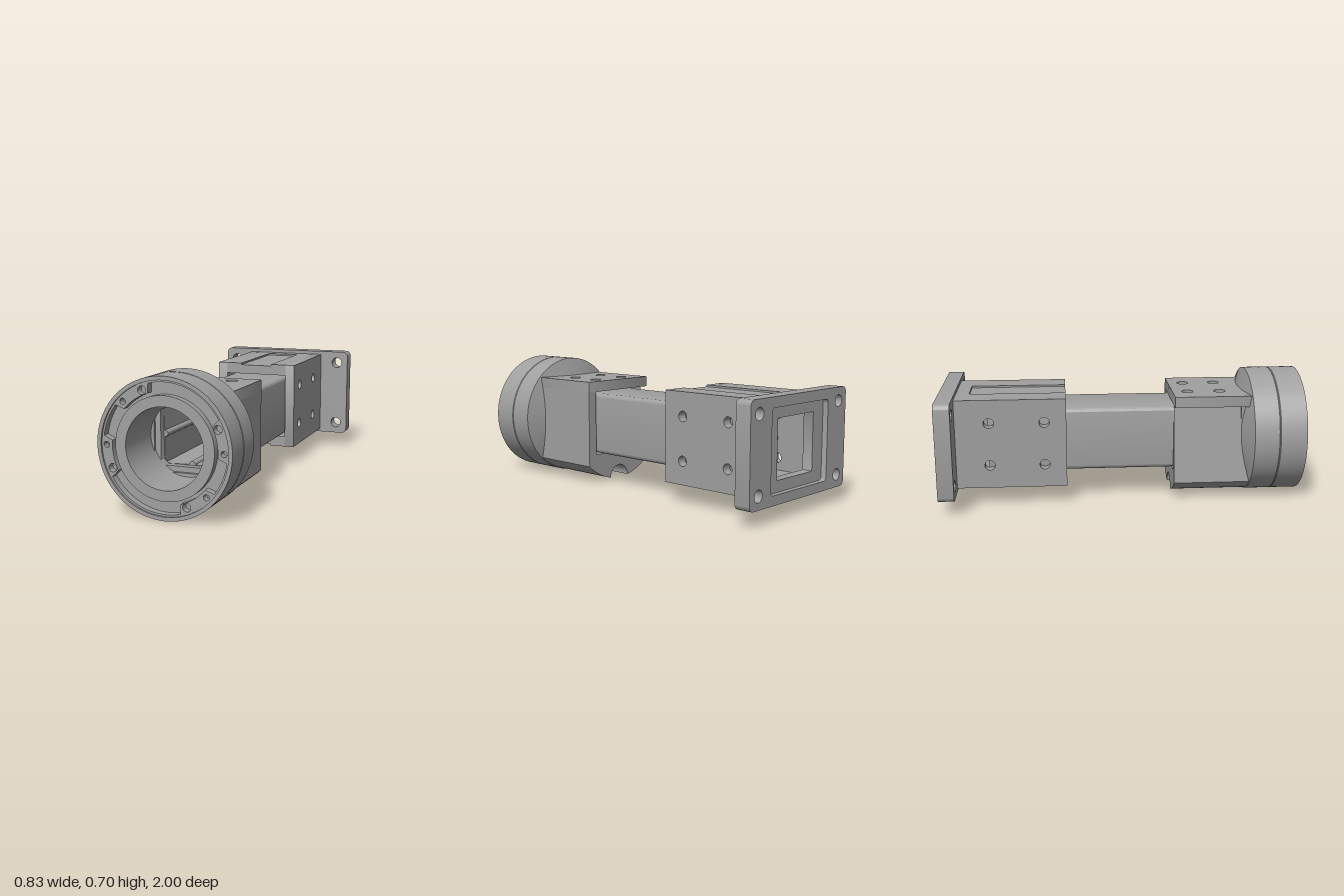
import * as THREE from 'three';
import { toCreasedNormals } from 'three/addons/utils/BufferGeometryUtils.js';

const CY = 0.354; // height of the main axis

export function createModel() {
  const model = new THREE.Group();
  const metal = new THREE.MeshStandardMaterial({ color: 0xa0a0a0 });
  metal.name = 'machined grey metal';

  const add = (name, geometry) => {
    const mesh = new THREE.Mesh(toCreasedNormals(geometry, 0.5), metal);
    mesh.name = name;
    model.add(mesh);
    return mesh;
  };
  const extrude = (shape, depth) =>
    new THREE.ExtrudeGeometry(shape, { depth, bevelEnabled: false, curveSegments: 20 });
  const box = (name, x0, x1, y0, y1, z0, z1) =>
    add(name, new THREE.BoxGeometry(x1 - x0, y1 - y0, z1 - z0)
      .translate((x0 + x1) / 2, (y0 + y1) / 2, (z0 + z1) / 2));

  // Rectangle with rounded corners, as an outline or a hole
  const rect = (Type, x0, x1, y0, y1, r) => {
    const p = new Type();
    p.moveTo(x0 + r, y0);
    p.absarc(x1 - r, y0 + r, r, -Math.PI / 2, 0);
    p.absarc(x1 - r, y1 - r, r, 0, Math.PI / 2);
    p.absarc(x0 + r, y1 - r, r, Math.PI / 2, Math.PI);
    p.absarc(x0 + r, y0 + r, r, Math.PI, Math.PI * 1.5);
    return p;
  };
  const circle = (x, y, r) => new THREE.Path().absarc(x, y, r, 0, Math.PI * 2);

  // Front collar: turned ring with a face channel, a seam and a tapered back
  const profile = [
    [0.203, 0.66], [0.2, 0.66], [0.35, 0.71], [0.35, 0.846], [0.346, 0.85], [0.35, 0.854],
    [0.35, 1], [0.33, 1], [0.33, 0.99], [0.32, 0.99], [0.32, 0.95], [0.257, 0.95],
    [0.257, 0.99], [0.203, 0.99], [0.203, 0.66],
  ].map(([r, z]) => new THREE.Vector2(r, z));
  add('frontCollar', new THREE.LatheGeometry(profile, 96).rotateX(Math.PI / 2).translate(0, CY, 0));

  // Four raised screw lobes in the face channel, each with two holes
  const deg = Math.PI / 180;
  for (const start of [0, 112, 180, 292.5]) {
    const swap = start === 112 || start === 292.5 ? 1 : 0; // larger hole comes first here
    const lobe = new THREE.Shape();
    lobe.absarc(0, 0, 0.322, (start - 8) * deg, (start + 30) * deg, false);
    lobe.absarc(0, 0, 0.274, (start + 27) * deg, (start - 5) * deg, true);
    const hole = (a, r, size) => lobe.holes.push(circle(r * Math.cos(a * deg), r * Math.sin(a * deg), size));
    hole(start + (swap ? 22.5 : 0), 0.304, 0.015);
    hole(start + (swap ? 0 : 22.5), 0.297, 0.021);
    add('screwLobe', extrude(lobe, 0.042).translate(0, CY, 0.948));
  }

  // Front block: U-shaped body with a round underside and a lengthwise groove
  const a = Math.acos(0.24 / 0.345), g = Math.acos(0.07 / 0.345);
  const body = new THREE.Shape();
  body.moveTo(-0.24, 0.54);
  body.absarc(0, CY, 0.345, Math.PI + a, Math.PI + g, false);
  body.absarc(0, 0.016, 0.07, Math.PI, 0, true);
  body.absarc(0, CY, 0.345, -g, -a, false);
  body.lineTo(0.24, 0.54);
  body.lineTo(0.185, 0.54);
  body.lineTo(0.185, 0.17);
  body.lineTo(-0.185, 0.17);
  body.lineTo(-0.185, 0.54);
  add('frontBlockBody', extrude(body, 0.43).translate(0, 0, 0.285));

  // Front block top with four clamp holes
  const lid = rect(THREE.Shape, -0.24, 0.24, 0.285, 0.715, 0.0005);
  for (const x of [-0.105, 0.105]) for (const z of [0.37, 0.55]) lid.holes.push(circle(x, z, 0.032));
  add('frontBlockTop', extrude(lid, 0.06).rotateX(Math.PI / 2).translate(0, 0.6, 0));

  // Stop ring behind the collar bore, where the tube ends
  const stop = rect(THREE.Shape, -0.2, 0.2, CY - 0.2, CY + 0.2, 0.005);
  stop.holes.push(rect(THREE.Path, -0.155, 0.155, CY - 0.155, CY + 0.155, 0.01));
  add('tubeStop', extrude(stop, 0.04).translate(0, 0, 0.66));

  // Square tube with a round rib along the middle of each inner wall
  const tube = rect(THREE.Shape, -0.176, 0.176, -0.176, 0.176, 0.025);
  const bore = new THREE.Path();
  const h = 0.155, rib = 0.017;
  bore.moveTo(h, -h);
  for (let i = 0; i < 4; i++) {
    const t = i * Math.PI / 2, c = Math.round(Math.cos(t)), s = Math.round(Math.sin(t));
    bore.absarc(c * (h - 0.004), s * (h - 0.004), rib, t - Math.PI / 2, t + Math.PI / 2, true);
    bore.lineTo(c * h - s * h, s * h + c * h);
  }
  tube.holes.push(bore);
  add('squareTube', extrude(tube, 1.4).translate(0, CY, -0.74));

  // Rear block side walls, each with four cross holes
  for (const x of [-0.185, 0.24]) {
    const wall = rect(THREE.Shape, -0.92, -0.31, 0.107, 0.603, 0.0005);
    for (const z of [-0.43, -0.73]) for (const y of [0.235, 0.473]) wall.holes.push(circle(z, y, 0.028));
    add('rearBlockSide', extrude(wall, 0.055).rotateY(-Math.PI / 2).translate(x, 0, 0));
  }

  // Rear block top and bottom walls, each with a shallow recess down the middle
  for (const [inner, floor, outer] of [[0.54, 0.593, 0.603], [0.168, 0.117, 0.107]]) {
    const lo = Math.min(inner, floor), hi = Math.max(inner, floor);
    const l2 = Math.min(floor, outer), h2 = Math.max(floor, outer);
    box('rearBlockWall', -0.185, 0.185, lo, hi, -0.92, -0.31);
    box('rearBlockStrip', -0.185, -0.095, l2, h2, -0.92, -0.31);
    box('rearBlockStrip', 0.095, 0.185, l2, h2, -0.92, -0.31);
    box('rearBlockStrip', -0.095, 0.095, l2, h2, -0.92, -0.84);
  }

  // Rear mounting plate: front layer with a square opening, back layer with a wide recess
  const plateLayer = (name, opening, z, depth) => {
    const plate = rect(THREE.Shape, -0.416, 0.416, 0.088, 0.623, 0.03);
    plate.holes.push(opening);
    for (const x of [-0.346, 0.346]) for (const y of [0.157, 0.552]) plate.holes.push(circle(x, y, 0.032));
    add(name, extrude(plate, depth).translate(0, 0, z));
  };
  plateLayer('mountingPlate', rect(THREE.Path, -0.155, 0.155, CY - 0.155, CY + 0.155, 0.003), -0.97, 0.057);
  plateLayer('mountingPlateRim', rect(THREE.Path, -0.245, 0.245, CY - 0.215, CY + 0.215, 0.02), -1, 0.03);

  return model;
}
